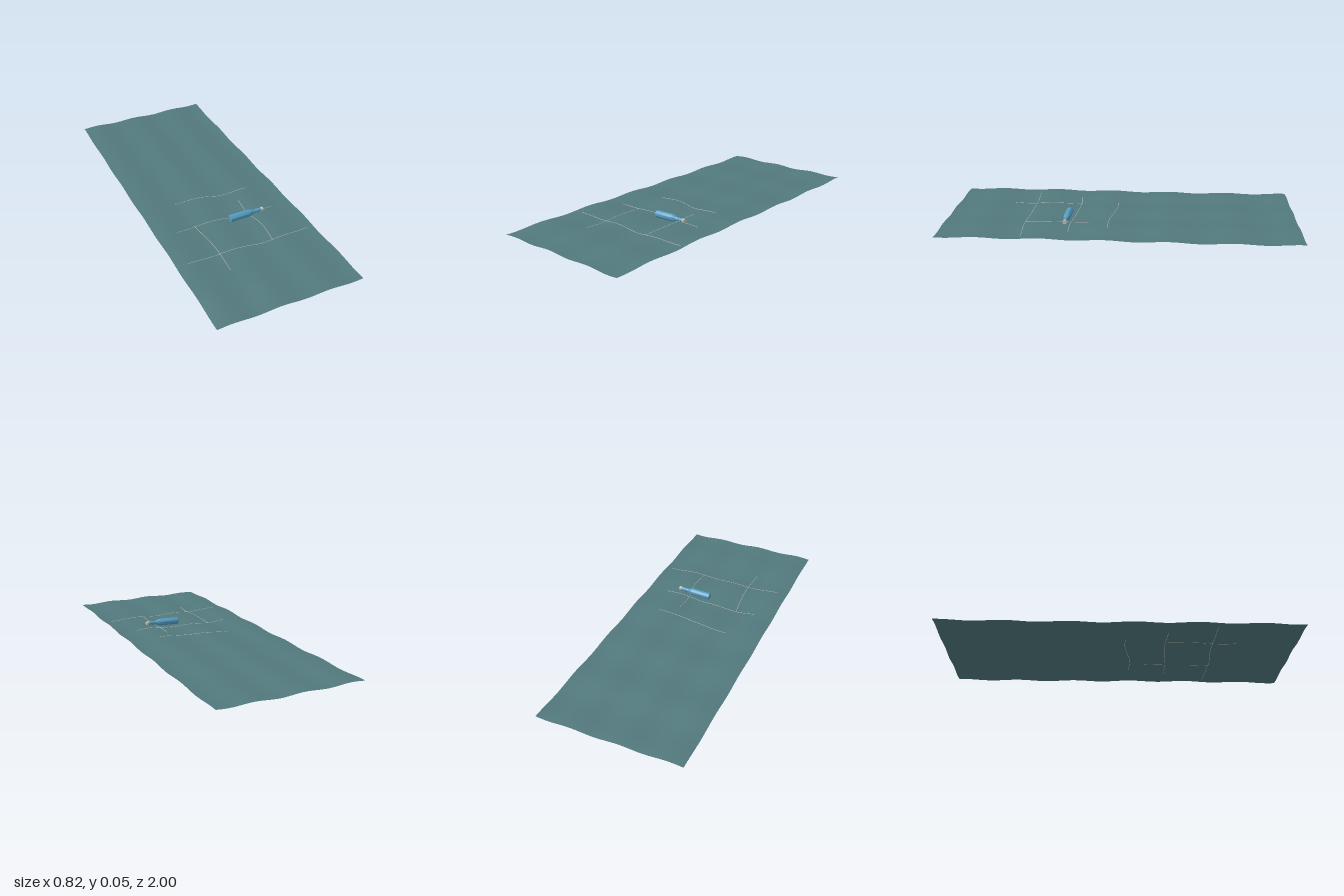
import * as THREE from 'three';
import { toCreasedNormals } from 'three/addons/utils/BufferGeometryUtils.js';

const WIDTH = 0.82, LENGTH = 2;

// Height of the water at a point: crossing swells plus a faint diagonal one
function waterHeight(x, z) {
  return 0.0095
    + 0.0038 * Math.cos((2 * Math.PI * (x + 0.06)) / 0.27)
    - 0.0038 * Math.cos((2 * Math.PI * (z - 0.6)) / 0.35)
    + 0.0016 * Math.sin(7 * x - 4 * z);
}

export function createModel() {
  const model = new THREE.Group();
  model.name = 'floatingBottle';

  const water = new THREE.MeshStandardMaterial({ color: 0x52797d, side: THREE.DoubleSide });
  water.name = 'seaTeal';
  const glass = new THREE.MeshStandardMaterial({ color: 0x559dc2 });
  glass.name = 'bottleBlue';
  const pale = new THREE.MeshStandardMaterial({ color: 0xc4c0b8 });
  pale.name = 'paleGrey';

  const add = (name, geometry, material, parent = model) => {
    const mesh = new THREE.Mesh(geometry, material);
    mesh.name = name;
    parent.add(mesh);
    return mesh;
  };

  // Water surface
  const sheet = new THREE.PlaneGeometry(WIDTH, LENGTH, 60, 120).rotateX(-Math.PI / 2);
  const pos = sheet.attributes.position;
  for (let i = 0; i < pos.count; i++) {
    pos.setY(i, waterHeight(pos.getX(i), pos.getZ(i)));
  }
  sheet.computeVertexNormals();
  add('waterSurface', sheet, water);

  // Thin foam lines lying on the water, as [x, z] paths
  const foamPaths = [
    [[-0.2, 0.03], [-0.1, 0.03], [0, 0.046], [0.08, 0.064], [0.24, 0.066]],
    [[-0.29, 0.266], [-0.16, 0.255], [0, 0.264], [0.14, 0.28], [0.29, 0.28]],
    [[-0.35, 0.532], [-0.15, 0.525], [0, 0.53], [0.12, 0.54], [0.38, 0.53]],
    [[-0.18, 0.25], [-0.168, 0.36], [-0.158, 0.52], [-0.165, 0.66]],
    [[0.145, 0.15], [0.14, 0.27], [0.158, 0.4], [0.15, 0.54]],
  ];
  const foam = new THREE.Group();
  foam.name = 'foamLines';
  model.add(foam);
  for (const path of foamPaths) {
    const flat = new THREE.CatmullRomCurve3(path.map(([x, z]) => new THREE.Vector3(x, 0, z)));
    const points = flat.getSpacedPoints(40);
    points.forEach((p) => { p.y = waterHeight(p.x, p.z) + 0.0005; });
    add('foamLine', new THREE.TubeGeometry(new THREE.CatmullRomCurve3(points), 80, 0.0014, 5), pale, foam);
  }

  // Bottle lying on its side, neck towards +x and slightly raised
  const bottle = new THREE.Group();
  bottle.name = 'bottle';
  bottle.position.set(0.013, 0.028, 0.303);
  bottle.rotation.set(0, -0.02, 0.032);
  model.add(bottle);

  const lathe = (profile) => toCreasedNormals(
    new THREE.LatheGeometry(profile.map(([r, y]) => new THREE.Vector2(r, y)), 24),
    0.6
  ).rotateZ(-Math.PI / 2);

  add('bottleBody', lathe([
    [0, 0], [0.0185, 0], [0.0205, 0.002], [0.0205, 0.118], [0.019, 0.125],
    [0.014, 0.138], [0.011, 0.148], [0.0105, 0.165], [0.0105, 0.192], [0, 0.192],
  ]), glass, bottle);
  add('neckRing', lathe([
    [0, 0.16], [0.0122, 0.16], [0.0122, 0.165], [0, 0.165],
  ]), glass, bottle);
  add('bottleCap', lathe([
    [0, 0.19], [0.0118, 0.19], [0.0122, 0.193], [0.0118, 0.205], [0, 0.205],
  ]), pale, bottle);

  return model;
}
